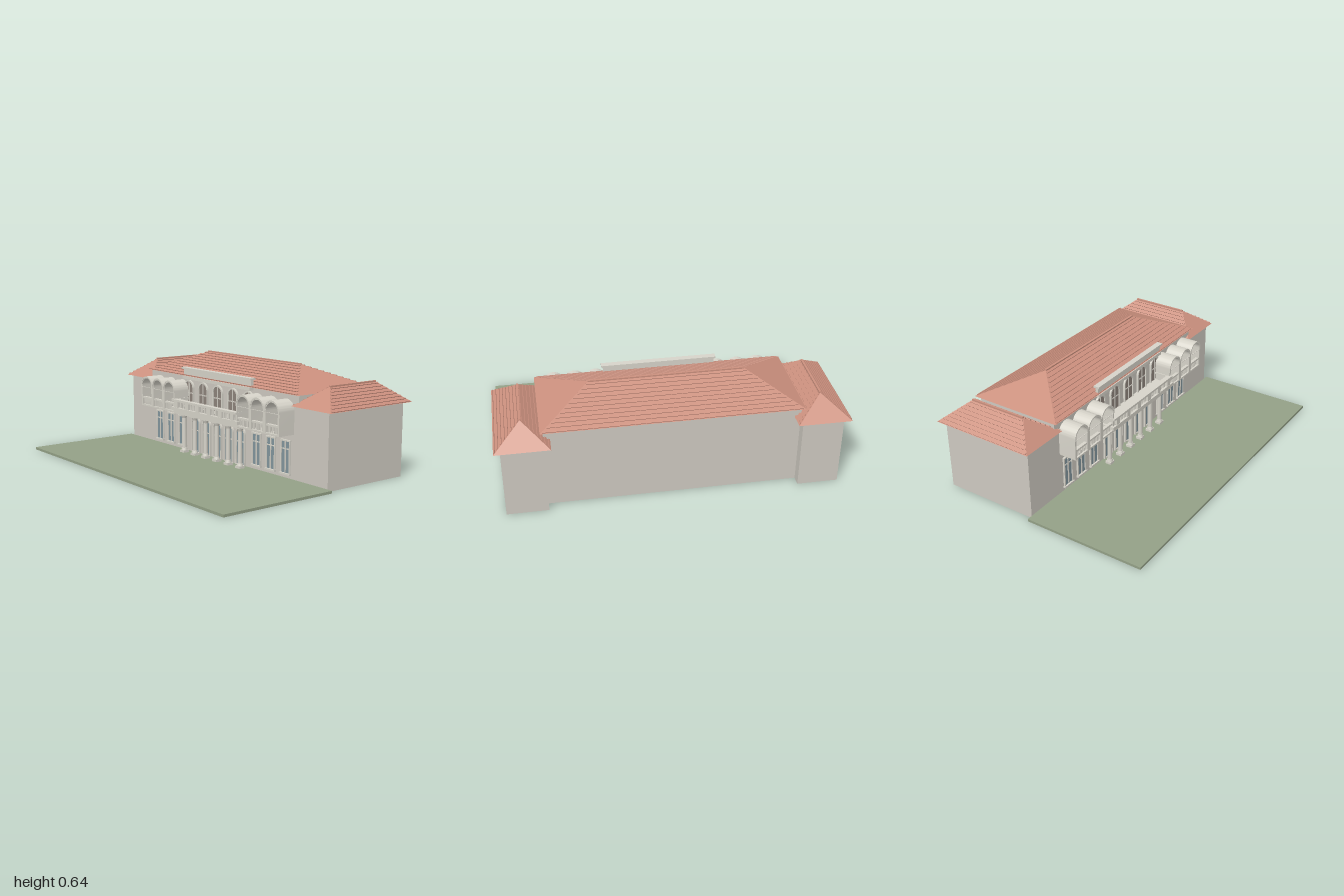
import * as THREE from 'three';
import { toCreasedNormals } from 'three/addons/utils/BufferGeometryUtils.js';

const material = (name, color) => {
  const m = new THREE.MeshStandardMaterial({ color });
  m.name = name;
  return m;
};

export function createModel() {
  const model = new THREE.Group();
  model.name = 'villa';
  const wall = material('wall plaster', 0xcdc9c0);
  const trim = material('pale stone', 0xd6d3c9);
  const tile = material('terracotta', 0xcb907e);
  const lawnMat = material('lawn green', 0x93a086);
  const glass = material('blue glass', 0x82959c);
  const shade = material('brown glass', 0x8d837b);
  const FRONT = -0.06;

  const add = (name, geo, mat, x = 0, y = 0, z = 0, parent = model) => {
    const m = new THREE.Mesh(geo, mat);
    m.name = name;
    m.position.set(x, y, z);
    parent.add(m);
    return m;
  };
  // box given by its lower and upper limits on each axis
  const box = (name, mat, x0, x1, y0, y1, z0, z1, parent = model) =>
    add(name, new THREE.BoxGeometry(x1 - x0, y1 - y0, z1 - z0), mat,
      (x0 + x1) / 2, (y0 + y1) / 2, (z0 + z1) / 2, parent);

  // round-headed outline
  const trace = (path, r, y0, spring) => {
    path.moveTo(-r, y0);
    path.lineTo(r, y0);
    path.lineTo(r, spring);
    path.absarc(0, spring, r, 0, Math.PI, false);
    path.lineTo(-r, y0);
    return path;
  };
  const arch = (r, y0, spring, depth, inner, innerY0) => {
    const shape = trace(new THREE.Shape(), r, y0, spring);
    if (inner) shape.holes.push(trace(new THREE.Path(), inner, innerY0, spring));
    const geo = new THREE.ExtrudeGeometry(shape, { depth, bevelEnabled: false, curveSegments: 16 });
    return toCreasedNormals(geo, 0.5);
  };

  // Hip roof with raised tile courses on its long slopes
  const hipRoof = (name, L, D, R, H, rows) => {
    const g = new THREE.Group();
    g.name = name;
    const a = [-L, 0, D], b = [L, 0, D], c = [L, 0, -D], d = [-L, 0, -D];
    const p = [-R, H, 0], q = [R, H, 0];
    const tris = [a, b, q, a, q, p, b, c, q, c, d, p, c, p, q, d, a, p, a, d, c, a, c, b];
    const geo = new THREE.BufferGeometry();
    geo.setAttribute('position', new THREE.Float32BufferAttribute(tris.flat(), 3));
    geo.computeVertexNormals();
    add('roofSlopes', geo, tile, 0, 0, 0, g);
    const slope = Math.atan2(H, D);
    const width = Math.hypot(H, D) / rows * 0.4;
    for (let i = 0; i < rows; i++) {
      const t = (i + 0.35) / rows;
      for (const s of [-1, 1]) {
        const len = 2 * (L + (R - L) * t) - 0.01;
        const bar = add('tileCourse', new THREE.BoxGeometry(len, 0.008, width), tile,
          0, H * t + 0.001, s * D * (1 - t), g);
        bar.rotation.x = s * slope;
      }
    }
    box('ridgeCap', tile, -R, R, H - 0.006, H + 0.006, -0.006, 0.006, g);
    model.add(g);
    return g;
  };

  // Lawn and building masses
  box('lawn', lawnMat, -1, 1, 0, 0.015, FRONT, 0.69);
  box('mainBlock', wall, -0.728, 0.728, 0, 0.505, -0.595, FRONT);
  hipRoof('mainRoof', 0.745, 0.295, 0.45, 0.125, 11).position.set(0, 0.505, -0.33);
  for (const s of [-1, 1]) {
    const x = s * 0.845;
    box('wing', wall, x - 0.12, x + 0.12, 0, 0.44, -0.653, FRONT);
    const roof = hipRoof('wingRoof', 0.327, 0.155, 0.183, 0.115, 8);
    roof.position.set(x, 0.44, -0.362);
    roof.rotation.y = Math.PI / 2;
  }

  // Attic parapet above the centre
  box('parapetBase', trim, -0.335, 0.335, 0.485, 0.505, FRONT, -0.03);
  box('parapet', trim, -0.335, 0.335, 0.505, 0.552, FRONT, -0.04);
  box('parapetCap', trim, -0.345, 0.345, 0.548, 0.559, -0.065, -0.028);

  // Side window bays
  for (const s of [-1, 1]) for (let i = 0; i < 3; i++) {
    const x = s * (0.373 + i * 0.127);

    // Arched loggia bay with barrel top and railing
    add('loggiaBay', arch(0.0635, 0.275, 0.41, 0.113, 0.051, 0.285), trim, x, 0, FRONT);
    add('loggiaArchMoulding', arch(0.0635, 0.4, 0.41, 0.004, 0.056, 0.402), trim, x, 0, 0.052);
    box('loggiaRail', trim, x - 0.052, x + 0.052, 0.324, 0.335, 0.03, 0.05);
    for (let k = 0; k < 8; k++) {
      add('loggiaBaluster', new THREE.CylinderGeometry(0.0035, 0.0035, 0.04, 8), trim,
        x - 0.042 + k * 0.012, 0.305, 0.04);
    }

    // Rectangular window below
    box('windowGlass', glass, x - 0.036, x + 0.036, 0.045, 0.232, FRONT, -0.055);
    for (const e of [-1, 1]) {
      box('windowJamb', trim, x + e * 0.036 - 0.004, x + e * 0.036 + 0.004, 0.042, 0.232, FRONT, -0.05);
    }
    box('windowMullion', trim, x - 0.004, x + 0.004, 0.045, 0.232, FRONT, -0.051);
    box('windowTransom', trim, x - 0.036, x + 0.036, 0.182, 0.188, FRONT, -0.052);
    box('windowLintel', trim, x - 0.042, x + 0.042, 0.229, 0.238, FRONT, -0.048);
    box('windowSill', trim, x - 0.044, x + 0.044, 0.034, 0.045, FRONT, -0.044);
  }

  // Central arched openings: doors below, windows above
  const archedOpening = (name, x, r, y0, spring, pane, bar) => {
    add(name + 'Pane', arch(r, y0, spring, 0.005), pane, x, 0, FRONT);
    add(name + 'Frame', arch(r + 0.006, y0, spring, 0.012, r - 0.003, y0 + 0.006), trim, x, 0, FRONT);
    box(name + 'Mullion', trim, x - 0.003, x + 0.003, y0, spring + r - 0.003, FRONT, -0.051);
    box(name + 'Transom', trim, x - r, x + r, bar - 0.003, bar + 0.003, FRONT, -0.052);
  };
  for (let i = -2; i <= 2; i++) {
    archedOpening('door', i * 0.1125, 0.037, 0.015, 0.208, glass, 0.16);
    archedOpening('upperWindow', i * 0.148, 0.043, 0.3, 0.428, shade, 0.395);
  }

  // Portico columns with pedestals of the balcony above
  for (let i = 0; i < 6; i++) {
    const x = (i - 2.5) * 0.1128;
    add('columnShaft', new THREE.CylinderGeometry(0.0125, 0.014, 0.2, 16), trim, x, 0.145, -0.003);
    box('columnPlinth', trim, x - 0.02, x + 0.02, 0.012, 0.03, -0.023, 0.017);
    add('columnBase', new THREE.CylinderGeometry(0.016, 0.02, 0.015, 16), trim, x, 0.0375, -0.003);
    add('columnCapital', new THREE.CylinderGeometry(0.021, 0.014, 0.018, 16), trim, x, 0.248, -0.003);
    box('columnAbacus', trim, x - 0.023, x + 0.023, 0.256, 0.272, -0.026, 0.02);
    box('balconyPedestal', trim, x - 0.017, x + 0.017, 0.305, 0.358, 0.03, 0.064);
  }

  // Balcony slab, rails and balusters
  box('balconyBeam', trim, -0.32, 0.32, 0.27, 0.295, FRONT, 0.053);
  box('balconySlab', trim, -0.335, 0.335, 0.292, 0.312, FRONT, 0.066);
  box('balconyRail', trim, -0.325, 0.325, 0.351, 0.364, 0.032, 0.066);
  for (let i = 0; i < 41; i++) {
    add('balconyBaluster', new THREE.CylinderGeometry(0.004, 0.005, 0.042, 8), trim,
      (i - 20) * 0.0157, 0.331, 0.048);
  }
  for (const s of [-1, 1]) {
    box('balconySideRail', trim, s * 0.313 - 0.01, s * 0.313 + 0.01, 0.351, 0.364, FRONT, 0.04);
  }
  return model;
}
